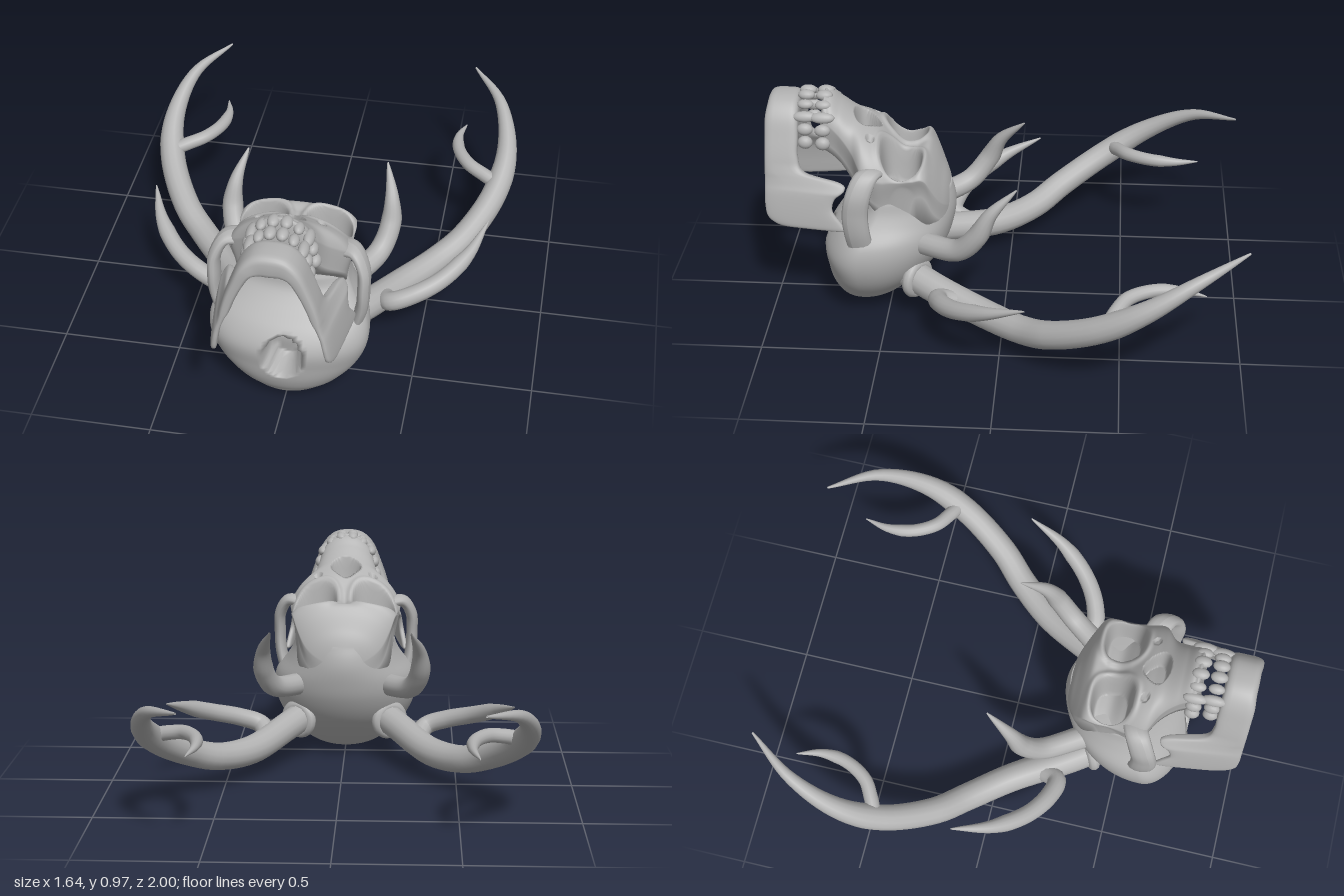
import * as THREE from 'three';

const bone = new THREE.MeshStandardMaterial({ color: 0xb2b2b2, side: THREE.DoubleSide });
bone.name = 'bone grey';

// smooth lookup: each row is [position, ...values]
function table(rows) {
  const n = rows[0].length - 1;
  const it = new THREE.CubicInterpolant(rows.map(r => r[0]), rows.flatMap(r => r.slice(1)), n, new Array(n));
  return p => Array.from(it.evaluate(p));
}

// surface through rows x cols points, each row a closed ring
function grid(rows, cols, point) {
  const pos = [], index = [];
  for (let i = 0; i < rows; i++) for (let j = 0; j < cols; j++) pos.push(...point(i, j));
  for (let i = 0; i < rows - 1; i++) for (let j = 0; j < cols; j++) {
    const a = i * cols + j, b = i * cols + (j + 1) % cols;
    index.push(a, a + cols, b, b, a + cols, b + cols);
  }
  const g = new THREE.BufferGeometry();
  g.setAttribute('position', new THREE.Float32BufferAttribute(pos, 3));
  g.setIndex(index);
  g.computeVertexNormals();
  return g;
}

// round horn along points, thinning to a tip; zStretch flattens it into a band
function horn(points, s, r, tip = true, zStretch = 1) {
  const curve = new THREE.CatmullRomCurve3(points.map(p => new THREE.Vector3(p[0] * s, p[1], p[2])));
  const n = 48, m = 14;
  const g = new THREE.TubeGeometry(curve, n, r, m);
  const p = g.attributes.position, v = new THREE.Vector3();
  for (let i = 0; i <= n; i++) {
    const t = i / n, c = curve.getPointAt(t);
    const k = tip ? Math.min(1, (1 - t) * 2.7 + 0.05) ** 0.8 * (1 - 0.25 * t) : 1;
    for (let j = 0; j <= m; j++) {
      const id = i * (m + 1) + j;
      v.fromBufferAttribute(p, id).sub(c).multiplyScalar(k);
      v.z *= zStretch;
      v.add(c);
      p.setXYZ(id, v.x, v.y, v.z);
    }
  }
  if (zStretch !== 1) g.computeVertexNormals();
  return g;
}

const sgnPow = (v, e) => Math.sign(v) * Math.abs(v) ** e;
const pit = d => 1 - THREE.MathUtils.smoothstep(d, 0.78, 1.0);

// braincase: egg sections stacked in y [y, crown z, widest z, back z, half width]
function cranium() {
  const prof = table([[0, 0.6, 0.61, 0.62, 0.01], [0.02, 0.52, 0.61, 0.69, 0.1], [0.06, 0.455, 0.61, 0.73, 0.18],
    [0.12, 0.385, 0.61, 0.76, 0.245], [0.2, 0.31, 0.61, 0.775, 0.3], [0.3, 0.25, 0.61, 0.78, 0.328],
    [0.38, 0.225, 0.59, 0.73, 0.315], [0.45, 0.215, 0.55, 0.65, 0.265], [0.5, 0.22, 0.52, 0.61, 0.237],
    [0.55, 0.235, 0.5, 0.6, 0.222]]);
  const n = 56, m = 96;
  return grid(n + 2, m, (i, j) => {
    const y = 0.55 * Math.min(1, i / n) ** 1.4, [z0, zm, z1, w] = prof(y);
    const a = j / m * Math.PI * 2, sin = Math.sin(a), k = i > n ? 0.01 : 1;
    const x = w * Math.cos(a) * k;
    let z = zm + (sin > 0 ? z1 - zm : zm - z0) * sgnPow(sin, 0.95) * k;
    // opening for the spine
    if (sin > 0 && i <= n) z -= 0.13 * pit(Math.hypot(x / 0.078, (y - 0.26) / 0.1));
    return [x, y, z];
  });
}

// face: arched sections along z [z, half width, ridge y, base y, roundness], with sockets and a flat palate below
function face() {
  const prof = table([[0.225, 0.04, 0.5, 0.42, 0.7], [0.245, 0.12, 0.575, 0.42, 0.65], [0.27, 0.175, 0.63, 0.41, 0.5],
    [0.3, 0.215, 0.69, 0.41, 0.33], [0.325, 0.238, 0.722, 0.41, 0.2], [0.38, 0.252, 0.712, 0.41, 0.16],
    [0.43, 0.25, 0.715, 0.42, 0.2], [0.48, 0.256, 0.76, 0.44, 0.35], [0.54, 0.265, 0.82, 0.52, 0.6],
    [0.59, 0.25, 0.85, 0.58, 0.72], [0.635, 0.178, 0.88, 0.62, 0.6], [0.69, 0.142, 0.925, 0.69, 0.55],
    [0.74, 0.128, 0.962, 0.73, 0.55], [0.765, 0.12, 0.94, 0.74, 0.6], [0.78, 0.11, 0.76, 0.745, 0.6]]);
  const n = 120, m = 120;
  return grid(n + 1, m + 1, (i, j) => {
    const z = 0.225 + 0.555 * i / n, [w, top, base, e] = prof(z);
    const a = Math.PI * j / m, s = Math.max(0, Math.sin(a));
    const x = w * Math.cos(a) * (0.84 + 0.16 * Math.min(1, s * 3));
    let y = base + (top - base) * s ** e;
    // eye sockets with a raised rim
    const eye = (Math.abs((Math.abs(x) - 0.133) / 0.097) ** 2.6 + Math.abs((z - 0.43) / 0.087) ** 2.6) ** (1 / 2.6);
    y += 0.014 * Math.exp(-(((eye - 1.13) / 0.14) ** 2)) * s;
    y -= 0.15 * pit(eye);
    // pear shaped nose opening, wider at the bottom
    const nw = 0.04 + 0.042 * THREE.MathUtils.clamp((z - 0.53) / 0.09, 0, 1);
    y -= 0.12 * pit(Math.hypot(x / nw, (z - 0.582) / 0.056));
    // small cheek openings
    y -= 0.02 * pit(Math.hypot((Math.abs(x) - 0.125) / 0.017, (z - 0.56) / 0.017));
    return [x, y, z];
  });
}

// lower jaw: half of a U, from hinge to chin [x, y, upper z, lower z, thickness]
function jaw() {
  const half = [[0.225, 0.44, 0.67, 0.9, 0.01], [0.225, 0.45, 0.655, 0.95, 0.028], [0.222, 0.48, 0.675, 0.99, 0.032],
    [0.215, 0.53, 0.71, 1, 0.032], [0.205, 0.58, 0.7, 1, 0.032], [0.194, 0.615, 0.66, 1, 0.032], [0.186, 0.64, 0.68, 1, 0.036],
    [0.176, 0.67, 0.83, 1, 0.042], [0.158, 0.73, 0.86, 1, 0.046], [0.13, 0.8, 0.86, 1, 0.052], [0.094, 0.87, 0.86, 1, 0.066],
    [0.05, 0.9, 0.86, 0.995, 0.095]];
  const rows = [...half, [0, 0.905, 0.86, 0.995, 0.105], ...half.slice().reverse().map(r => [-r[0], ...r.slice(1)])];
  const prof = table(rows.map((r, i) => [i, ...r]));
  const n = 144, m = 28, span = rows.length - 1;
  return grid(n + 3, m, (i, j) => {
    const k = i === 0 || i === n + 2 ? 0.01 : 1;
    const t = THREE.MathUtils.clamp((i - 1) / n, 0, 1) * span;
    const [x, y, z0, z1, th] = prof(t);
    const A = prof(Math.max(0, t - 0.1)), B = prof(Math.min(span, t + 0.1));
    const dx = B[0] - A[0], dy = B[1] - A[1], len = Math.hypot(dx, dy) || 1;
    const a = j / m * Math.PI * 2;
    const off = th / 2 * sgnPow(Math.cos(a), 0.6) * k;
    const z = (z0 + z1) / 2 + (z1 - z0) / 2 * sgnPow(Math.sin(a), 0.5) * k;
    // the branch to the hinge leans outward
    const lean = 0.14 * (1 - z) * THREE.MathUtils.clamp((0.7 - y) / 0.1, 0, 1) * Math.sign(x);
    return [x + lean - dy / len * off, y + dx / len * off, z];
  });
}

export function createModel() {
  const model = new THREE.Group();
  const add = (name, geometry, parent = model) => {
    const mesh = new THREE.Mesh(geometry, bone);
    mesh.name = name;
    parent.add(mesh);
    return mesh;
  };
  add('cranium', cranium());
  add('face', face());
  add('lowerJaw', jaw());

  // teeth around both arches: [x, y, half width, half length, turn]
  const toothGeo = new THREE.SphereGeometry(1, 14, 10);
  const teeth = [[0.026, 0.953, 0.025, 0.036, 0.1], [0.073, 0.93, 0.022, 0.034, 0.5], [0.112, 0.89, 0.024, 0.052, 0.9],
    [0.126, 0.838, 0.026, 0.034, 1.4], [0.135, 0.782, 0.028, 0.032, 1.5]];
  for (const [name, z, inset] of [['upperTeeth', 0.757, 1], ['lowerTeeth', 0.832, 0.93]]) {
    const group = new THREE.Group();
    group.name = name;
    model.add(group);
    for (const s of [-1, 1]) for (const [x, y, r, h, turn] of teeth) {
      const tooth = add('tooth', toothGeo, group);
      tooth.position.set(s * x * inset, y, z);
      tooth.rotation.z = -s * turn;
      tooth.scale.set(r, r * 0.85, h);
    }
  }

  // paired parts
  for (const s of [1, -1]) {
    const side = s > 0 ? 'left' : 'right';
    add(side + 'CheekArch', horn([[0.2, 0.69, 0.54], [0.26, 0.695, 0.565], [0.3, 0.63, 0.595], [0.304, 0.54, 0.61],
      [0.298, 0.45, 0.605], [0.27, 0.34, 0.59]], s, 0.026, false, 2.1));

    const antler = new THREE.Group();
    antler.name = side + 'Antler';
    model.add(antler);
    add('mainBeam', horn([[0.17, 0.2, 0.42], [0.25, 0.17, 0.3], [0.39, 0.13, 0.06], [0.52, 0.145, -0.1], [0.63, 0.2, -0.22],
      [0.74, 0.31, -0.42], [0.77, 0.42, -0.6], [0.715, 0.535, -0.81], [0.58, 0.585, -1]], s, 0.066), antler);
    add('browTine', horn([[0.15, 0.36, 0.42], [0.22, 0.36, 0.31], [0.305, 0.39, 0.18], [0.34, 0.48, 0.1],
      [0.335, 0.58, 0.045], [0.3, 0.68, -0.06]], s, 0.052), antler);
    add('lowerTine', horn([[0.33, 0.15, 0.18], [0.37, 0.19, 0.26], [0.46, 0.225, 0.245], [0.57, 0.265, 0.175],
      [0.67, 0.32, 0.05], [0.737, 0.38, -0.115]], s, 0.043), antler);
    add('upperTine', horn([[0.745, 0.34, -0.45], [0.68, 0.36, -0.48], [0.61, 0.375, -0.525], [0.555, 0.38, -0.62],
      [0.542, 0.378, -0.73], [0.567, 0.37, -0.84]], s, 0.032), antler);

    // collars where the antler leaves the skull
    for (const [x, y, z, r, t] of [[0.205, 0.185, 0.37, 0.063, 0.026], [0.198, 0.36, 0.345, 0.045, 0.016]]) {
      const burr = add('burr', new THREE.TorusGeometry(r, t, 10, 28), antler);
      burr.position.set(s * x, y, z);
      burr.rotation.y = s * -0.57;
    }
  }
  return model;
}
